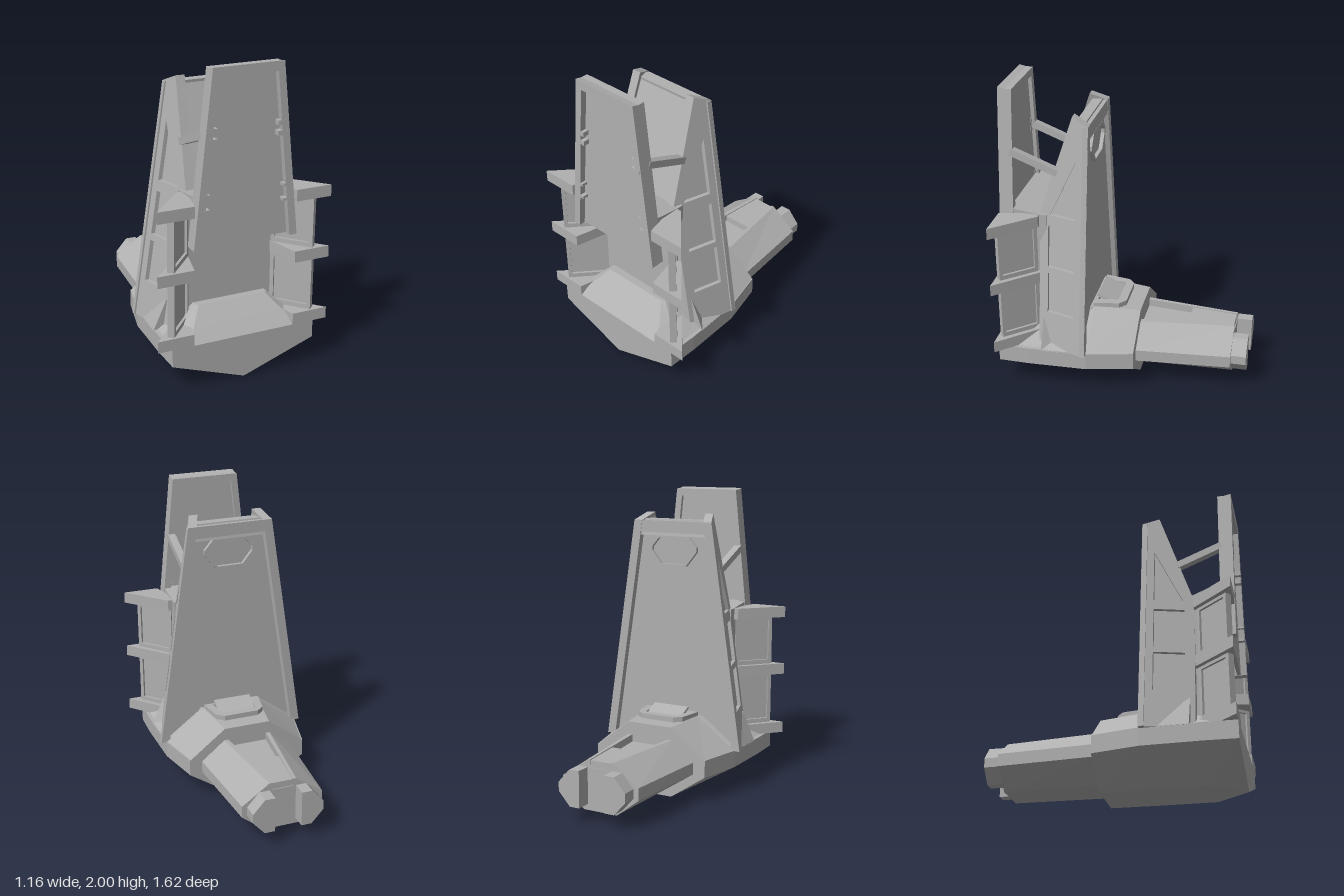
import * as THREE from 'three';

const grey = new THREE.MeshStandardMaterial({ color: 0xb0b0b0, flatShading: true, side: THREE.DoubleSide });
grey.name = 'hullGrey';

// mirror a half outline [x, y] (top to bottom on the +x side) into a closed loop
const mirrored = (half) => [...half, ...half.slice().reverse().map(([x, y]) => [-x, y])];
const vec2 = (pts) => pts.map(([x, y]) => new THREE.Vector2(x, y));

// solid through matching loops of [x, y] at given depths z, with flat caps
function loft(stations) {
  const pos = [], idx = [], n = stations[0].pts.length, last = (stations.length - 1) * n;
  stations.forEach((s) => s.pts.forEach(([x, y]) => pos.push(x, y, s.z)));
  for (let i = 0; i < stations.length - 1; i++) {
    for (let j = 0; j < n; j++) {
      const a = i * n + j, b = i * n + (j + 1) % n;
      idx.push(a, b, b + n, a, b + n, a + n);
    }
  }
  const ccw = THREE.ShapeUtils.area(vec2(stations[0].pts)) > 0;
  const cap = (k, off, flip) => {
    for (const [a, b, c] of THREE.ShapeUtils.triangulateShape(vec2(stations[k].pts), [])) {
      if (flip) idx.push(off + a, off + c, off + b);
      else idx.push(off + a, off + b, off + c);
    }
  };
  cap(0, 0, true);
  cap(stations.length - 1, last, false);
  if (!ccw) { // turn the sides and caps outward
    for (let i = 0; i < idx.length; i += 3) [idx[i + 1], idx[i + 2]] = [idx[i + 2], idx[i + 1]];
  }
  const g = new THREE.BufferGeometry();
  g.setAttribute('position', new THREE.Float32BufferAttribute(pos, 3));
  g.setIndex(idx);
  const flat = g.toNonIndexed();
  flat.computeVertexNormals();
  return flat;
}

// plate with holes, from z0 to z1
function plate(outline, holes, z0, z1) {
  const shape = new THREE.Shape(vec2(outline));
  holes.forEach((h) => shape.holes.push(new THREE.Path(vec2(h))));
  return new THREE.ExtrudeGeometry(shape, { depth: z1 - z0, bevelEnabled: false }).translate(0, 0, z0);
}

// plate lying flat: outline in [x, z], from y0 to y1
const slab = (outline, holes, y0, y1) =>
  plate(outline.map(([x, z]) => [x, -z]), holes.map((h) => h.map(([x, z]) => [x, -z])), y0, y1).rotateX(-Math.PI / 2);

const rect = (a, b, c, d) => [[a, c], [b, c], [b, d], [a, d]];

export function createModel() {
  const model = new THREE.Group();
  const add = (name, geo, parent = model) => {
    const m = new THREE.Mesh(geo, grey);
    m.name = name;
    parent.add(m);
    return m;
  };
  const box = (name, w, h, d, x, y, z) => {
    const m = add(name, new THREE.BoxGeometry(w, h, d));
    m.position.set(x, y, z);
    return m;
  };

  // lower hull, its flat bottom narrowing to a keel point at the front
  const hullAt = (z, w, b) => ({ z, pts: mirrored([[w, 0.285], [w, 0.17], [b, 0]]) });
  add('lowerHull', loft([
    hullAt(-0.085, 0.41, 0.16), hullAt(0.22, 0.48, 0.17), hullAt(0.6, 0.49, 0.17), hullAt(0.81, 0.485, 0.005),
  ]));

  // sloping shoulders behind and under the tower
  const shoulderAt = (z, w, t, y) => ({ z, pts: mirrored([[t, y], [w, 0.28]]) });
  add('shoulders', loft([
    shoulderAt(-0.085, 0.41, 0.16, 0.475), shoulderAt(0.22, 0.48, 0.2, 0.49), shoulderAt(0.52, 0.49, 0.4, 0.48),
  ]));

  // rear boom with a channel along its top
  const boomAt = (z, w, t, n, b) => ({
    z, pts: mirrored([[n, 0.34], [n, 0.39], [t, 0.39], [w, 0.26], [w, 0.18], [b, 0.06]]),
  });
  add('rearBoom', loft([boomAt(-0.71, 0.275, 0.09, 0.07, 0.12), boomAt(-0.08, 0.325, 0.165, 0.135, 0.14)]));
  add('boomCover', slab([[-0.07, -0.705], [0.07, -0.705], [0.1, -0.4], [-0.1, -0.4]], [], 0.33, 0.385));
  for (const s of [1, -1]) {
    const prong = [[0.09, 0.1], [0.16, 0.1], [0.24, 0.19], [0.24, 0.25], [0.16, 0.34], [0.09, 0.34]];
    add('boomProng', plate(prong.map(([x, y]) => [s * x, y]), [], -0.81, -0.7));
  }

  // rear hatch: raised rim and tilted lid
  add('hatchRim', slab(
    [[-0.2, 0.23], [-0.17, 0.06], [-0.12, 0.02], [0.12, 0.02], [0.17, 0.06], [0.2, 0.23]],
    [[[-0.14, 0.21], [-0.12, 0.075], [0.12, 0.075], [0.14, 0.21]]], 0.46, 0.515));
  const lid = box('hatchLid', 0.26, 0.015, 0.15, 0, 0.51, 0.15);
  lid.rotation.x = -0.4;

  // rear tower, widening downward and narrowing forward
  const towerHalf = (y) => 0.29 + 0.148 * (1.8 - y);
  const coreAt = (y, z0, z1) => {
    const w = towerHalf(y) - 0.035, f = w - 0.3 * (z1 - z0);
    return { z: y, pts: [[-w, -z0], [w, -z0], [f, -z1], [-f, -z1]] };
  };
  add('towerCore', loft([coreAt(0.28, 0.25, 0.52), coreAt(1.19, 0.25, 0.52), coreAt(1.8, 0.25, 0.31)])
    .rotateX(-Math.PI / 2));

  // tower side walls with recessed windows, leaning with the taper
  const wallOutline = [[0.22, 0.28], [0.22, 1.8], [0.33, 1.85], [0.55, 1.19], [0.55, 0.28]];
  const wallHoles = [
    [[0.3, 1.19], [0.3, 1.57], [0.48, 1.19]], rect(0.3, 0.49, 0.84, 1.12), rect(0.3, 0.49, 0.53, 0.8),
  ];
  for (const s of [1, -1]) {
    const g = plate(wallOutline, wallHoles, -0.06, 0);
    const p = g.attributes.position;
    for (let i = 0; i < p.count; i++) {
      const z = p.getX(i), y = p.getY(i), x = p.getZ(i);
      p.setXYZ(i, s * (towerHalf(y) + x - 0.3 * (z - 0.22)), y, z);
    }
    if (s > 0) { // reorder corners after the axis swap
      for (let i = 0; i < p.count; i += 3) {
        const a = new THREE.Vector3().fromBufferAttribute(p, i + 1);
        const b = new THREE.Vector3().fromBufferAttribute(p, i + 2);
        p.setXYZ(i + 1, b.x, b.y, b.z);
        p.setXYZ(i + 2, a.x, a.y, a.z);
      }
    }
    g.computeVertexNormals();
    add('towerSideWall', g);
  }

  // tower back frame, sloped top cap and hatch ring
  const t = towerHalf;
  add('towerBackFrame', plate(
    [[-t(0.28), 0.28], [t(0.28), 0.28], [t(1.8), 1.8], [-t(1.8), 1.8]],
    [[[-t(0.3) + 0.06, 0.3], [t(0.3) - 0.06, 0.3], [t(1.72) - 0.06, 1.72], [-t(1.72) + 0.06, 1.72]]], 0.222, 0.255));
  add('towerCap', loft([
    { z: 1.7, pts: rect(-0.25, 0.25, -0.3, -0.226) }, { z: 1.81, pts: rect(-0.25, 0.25, -0.315, -0.25) },
  ]).rotateX(-Math.PI / 2));
  const ring = (k) => [[-0.18, 0], [-0.1, -0.1], [0.1, -0.1], [0.18, 0], [0.18, 0.03], [0.12, 0.1], [-0.12, 0.1], [-0.18, 0.03]]
    .map(([x, y]) => [x * k, 1.6 + y * k]);
  add('towerHatchRing', plate(ring(1), [ring(0.86)], 0.225, 0.255));

  // wall in front of the tower, and the deck reaching out to the panel
  add('frontWall', plate(rect(-0.31, 0.31, 0.28, 1.19), [], 0.5, 0.58));
  add('deck', loft([
    { z: 0.5, pts: rect(-0.31, 0.31, 1.13, 1.185) }, { z: 0.75, pts: rect(-0.31, 0.31, 1.15, 1.22) },
  ]));

  // tall front panel: frame rails and recessed sheet
  add('frontFrame', plate(
    mirrored([[0.19, 1.945], [0.295, 0.905], [0.345, 0.905], [0.23, 1.99]].reverse()), [], 0.72, 0.81));
  add('frontFrameTop', loft([
    { z: 0.72, pts: rect(-0.23, 0.23, 1.94, 1.98) }, { z: 0.81, pts: rect(-0.23, 0.23, 1.94, 2) },
  ]));
  add('frontSheet', plate([[-0.31, 0.91], [0.31, 0.91], [0.21, 1.96], [-0.21, 1.96]], [], 0.745, 0.77));

  // sloped brow from the wall down to the nose
  add('brow', loft([
    { z: 0.28, pts: [[-0.47, -0.5], [0.47, -0.5], [0.47, -0.78], [0.36, -0.81], [-0.36, -0.81], [-0.47, -0.78]] },
    { z: 0.36, pts: [[-0.35, -0.5], [0.35, -0.5], [0.35, -0.67], [0.31, -0.73], [-0.31, -0.73], [-0.35, -0.67]] },
    { z: 0.455, pts: [[-0.25, -0.5], [0.25, -0.5], [0.25, -0.61], [0.23, -0.63], [-0.23, -0.63], [-0.25, -0.61]] },
  ]).rotateX(-Math.PI / 2));

  for (const s of [1, -1]) {
    // three shelves on each swept wing
    const shelf = [[0.28, 0.55], [0.34, 0.55], [0.58, 0.81], [0.34, 0.81], [0.29, 0.6]].map(([x, z]) => [s * x, z]);
    for (const y of [0.285, 0.71, 1.115]) add('wingShelf', slab(shelf, [], y, y + 0.075));

    // framed diagonal walls between the shelves
    for (const [y0, y1] of [[0.36, 0.71], [0.785, 1.115]]) {
      const bay = new THREE.Group();
      bay.name = 'wingBay';
      add('wingFrame', plate(rect(0, 0.275, y0, y1), [rect(0.025, 0.25, y0 + 0.03, y1 - 0.02)], -0.022, 0.022), bay);
      add('wingSheet', plate(rect(0.01, 0.265, y0, y1), [], -0.006, 0.006), bay);
      bay.position.set(s * 0.3, 0, 0.58);
      bay.rotation.y = s > 0 ? -0.84 : Math.PI + 0.84;
      model.add(bay);
    }

    // braces from panel to tower, and clips on the rails
    const brace = box('brace', 0.05, 0.045, 0.34, s * 0.25, 1.527, 0.58);
    brace.rotation.x = -0.38;
    for (const [x, y, h] of [[0.23, 1.628, 0.03], [0.23, 1.565, 0.03], [0.275, 1.237, 0.018], [0.275, 1.143, 0.018]]) {
      box('railClip', 0.065, h, 0.07, s * x, y, 0.776);
    }
  }
  return model;
}
